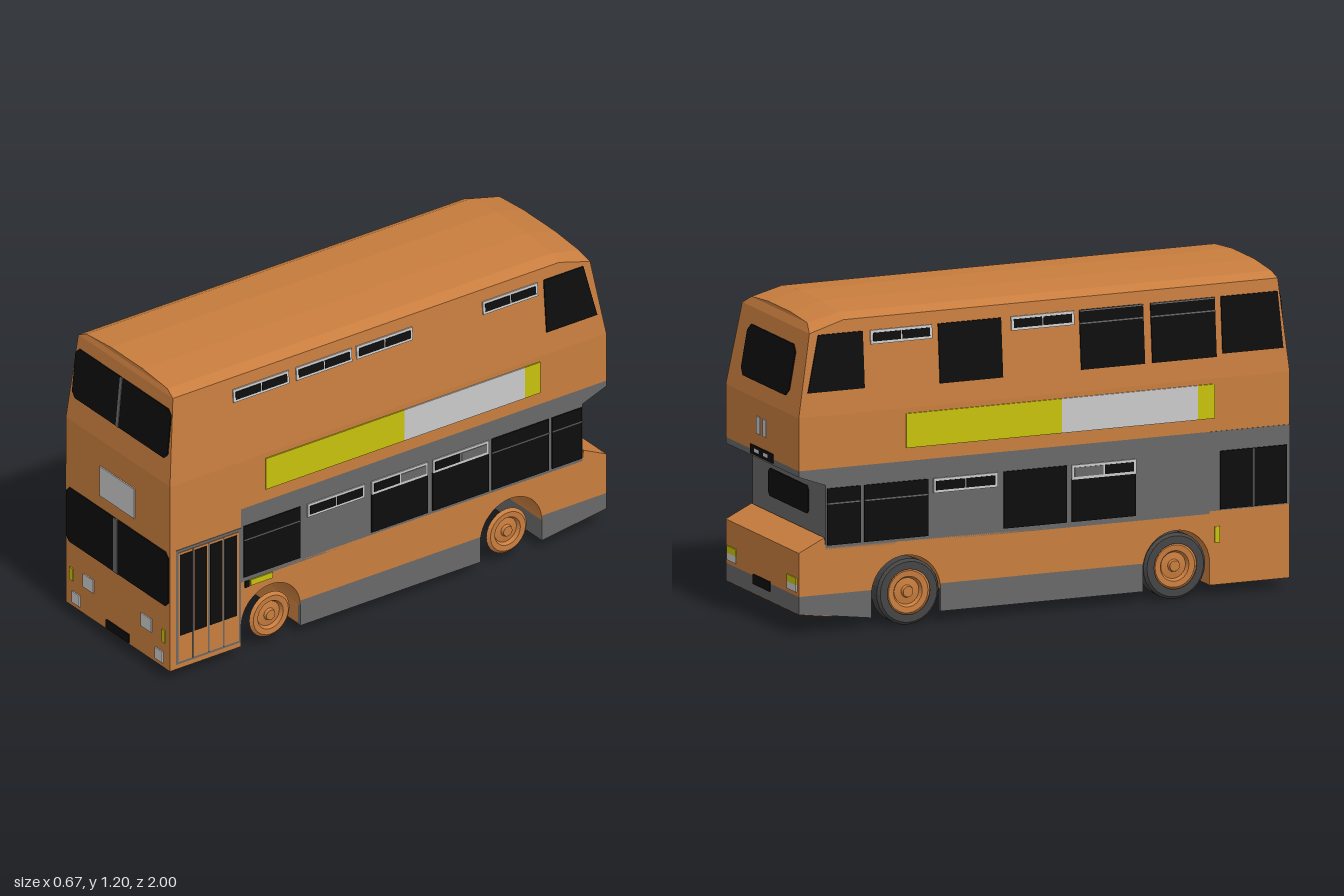
import * as THREE from 'three';

const mat = (name, color, side = THREE.FrontSide) =>
  new THREE.MeshStandardMaterial({ name, color, side, flatShading: true });

export function createModel() {
  const bus = new THREE.Group();
  bus.name = 'doubleDeckerBus';
  const orange = mat('orange paint', 0xc87d3e, THREE.DoubleSide);
  const grey = mat('grey trim', 0x686868, THREE.DoubleSide);
  const black = mat('dark glass', 0x0d0d0d);
  const light = mat('light grey', 0xcacaca);
  const yellow = mat('yellow', 0xc8c20c);
  const rubber = mat('tyre rubber', 0x454545, THREE.DoubleSide);

  const add = (name, geo, material, parent = bus) => {
    const m = new THREE.Mesh(geo, material);
    m.name = name;
    parent.add(m);
    return m;
  };
  const box = (name, material, x0, x1, y0, y1, z0, z1) =>
    add(name, new THREE.BoxGeometry(x1 - x0, y1 - y0, z1 - z0)
      .translate((x0 + x1) / 2, (y0 + y1) / 2, (z0 + z1) / 2), material);
  // Side outline in (z, y) stretched across the width
  const across = (name, material, shape, w = 0.656) =>
    add(name, new THREE.ExtrudeGeometry(shape, { depth: w, bevelEnabled: false, curveSegments: 12 })
      .rotateY(-Math.PI / 2).translate(w / 2, 0, 0), material);
  const poly = (pts) => new THREE.Shape(pts.map(([a, b]) => new THREE.Vector2(a, b)));

  // Walls: distance from the centre at a given height
  const lean = (y, k) => Math.max(0, y - 0.82) * k;
  const halfWidth = (y) => 0.328 - lean(y, 0.0857);
  const frontZ = (y) => 0.994 - lean(y, 0.1);
  const backZ = (y) => 0.994 - lean(y, 0.1774);
  const walls = {
    front: { sign: 1, turn: 0, dist: frontZ, dir: [0, 1] },
    back: { sign: -1, turn: Math.PI, dist: backZ, dir: [0, -1] },
    left: { sign: -1, turn: Math.PI / 2, dist: halfWidth, dir: [1, 0] },
    right: { sign: 1, turn: -Math.PI / 2, dist: halfWidth, dir: [-1, 0] },
  };
  // Thin plate that follows a wall; outline in world (x or z, y)
  const plateShape = (name, wall, material, pts, lift = 0) => {
    const w = walls[wall];
    const geo = new THREE.ExtrudeGeometry(poly(pts.map(([a, y]) => [a * w.sign, y])),
      { depth: 0.005, bevelEnabled: false }).rotateY(w.turn);
    const p = geo.attributes.position;
    for (let i = 0; i < p.count; i++) {
      const d = w.dist(p.getY(i)) + lift;
      p.setX(i, p.getX(i) + w.dir[0] * d);
      p.setZ(i, p.getZ(i) + w.dir[1] * d);
    }
    geo.computeVertexNormals();
    return add(name, geo, material);
  };
  const plate = (name, wall, material, a0, a1, y0, y1, lift = 0, cut = 0) =>
    plateShape(name, wall, material, cut
      ? [[a0 + cut, y0], [a1 - cut, y0], [a1, y0 + cut], [a1, y1 - cut],
        [a1 - cut, y1], [a0 + cut, y1], [a0, y1 - cut], [a0, y0 + cut]]
      : [[a0, y0], [a1, y0], [a1, y1], [a0, y1]], lift);

  // Upper deck shell: half cross-sections [x, y, z] from front to back
  const profile = [[0.328, 0.62], [0.328, 0.82], [0.298, 1.17], [0.255, 1.19], [0.1, 1.204]];
  const front = profile.map(([x, y], i) => [x, y, i < 3 ? frontZ(y) : 0.953]);
  const shoulder = profile.map(([x, y]) => [x, y, -0.8]);
  const tail = [[0.328, 0.62, -0.994], [0.328, 0.82, -0.994], [halfWidth(1.13), 1.13, -backZ(1.13)],
    [0.25, 1.16, -0.925], [0.1, 1.172, -0.925]];
  const rings = [front, shoulder, tail].map((h) =>
    [...h, ...[...h].reverse().map(([x, y, z]) => [-x, y, z])]);
  const verts = [];
  const quad = (a, b, c, d) => [a, b, c, a, c, d].forEach((v) => verts.push(...v));
  const n = profile.length, M = 2 * n;
  for (let s = 0; s < 2; s++)
    for (let i = 0; i < M; i++) {
      const j = (i + 1) % M;
      quad(rings[s][i], rings[s + 1][i], rings[s + 1][j], rings[s][j]);
    }
  for (let k = 0; k < n - 1; k++) {
    const F = rings[0], B = rings[2], l = M - 1 - k;
    quad(F[k], F[k + 1], F[l - 1], F[l]);
    quad(B[l], B[l - 1], B[k + 1], B[k]);
  }
  const shell = new THREE.BufferGeometry();
  shell.setAttribute('position', new THREE.Float32BufferAttribute(verts, 3));
  shell.computeVertexNormals();
  add('upperDeck', shell, orange);

  // Lower deck
  box('frontSection', orange, -0.328, 0.328, 0.04, 0.62, 0.67, 0.994);
  box('windowBand', grey, -0.328, 0.328, 0.31, 0.62, -0.885, 0.67);
  plate('frontWindowBand', 'right', grey, 0.665, 0.994, 0.32, 0.62, -0.003);
  across('rearOverhang', grey, poly([[-0.88, 0.62], [-0.994, 0.62], [-0.994, 0.597], [-0.88, 0.555]]));
  const lower = new THREE.Shape();
  lower.moveTo(0.67, 0.32).lineTo(0.67, 0.125);
  lower.absarc(0.535, 0.125, 0.135, 0, Math.PI, false);
  lower.lineTo(0.4, 0.145).lineTo(-0.42, 0.145).lineTo(-0.42, 0.125);
  lower.absarc(-0.56, 0.125, 0.14, 0, Math.PI, false);
  lower.lineTo(-0.7, 0.145).lineTo(-0.994, 0.145).lineTo(-0.994, 0.31)
    .lineTo(-0.89, 0.36).lineTo(-0.885, 0.32);
  across('lowerBody', orange, lower);
  for (const s of [-1, 1]) {
    const x = s * 0.321;
    box('sideSkirt', grey, x - 0.007, x + 0.007, 0.04, 0.146, -0.42, 0.4);
  }
  box('wheelWellWall', orange, -0.314, 0.314, 0.042, 0.146, 0.388, 0.399);
  across('rearSkirt', grey, poly([[-0.7, 0.145], [-0.994, 0.145], [-0.994, 0.08], [-0.7, 0.04]]));
  across('rearUnderside', orange, poly([[-0.86, 0.063], [-0.993, 0.081], [-0.993, 0.077], [-0.86, 0.058]]), 0.65);

  // Front face
  plate('upperWindscreen', 'front', black, -0.3, 0.3, 0.92, 1.12, 0, 0.02);
  plate('upperPillar', 'front', grey, -0.02, -0.005, 0.92, 1.12, 0.002);
  plate('lowerWindscreen', 'front', black, -0.322, 0.322, 0.307, 0.535, 0, 0.02);
  plate('lowerPillar', 'front', grey, -0.02, 0.005, 0.307, 0.535, 0.002);
  plate('destinationPanel', 'front', light, -0.11, 0.108, 0.588, 0.712);
  plate('frontPlate', 'front', black, -0.07, 0.072, 0.046, 0.082);
  for (const s of [-1, 1]) {
    const pair = (name, m, a, b, y0, y1) =>
      plate(name, 'front', m, Math.min(s * a, s * b), Math.max(s * a, s * b), y0, y1);
    pair('headlight', light, 0.15, 0.215, 0.155, 0.21);
    pair('fogLight', light, 0.237, 0.286, 0.058, 0.105);
    pair('indicator', yellow, 0.28, 0.3, 0.148, 0.2);
  }

  // Rear face
  plate('rearUpperWindow', 'back', black, -0.215, 0.215, 0.88, 1.07, 0, 0.025);
  for (const x of [0.03, -0.025]) plate('rearPanel', 'back', light, x - 0.014, x + 0.014, 0.69, 0.755);
  plate('rearSign', 'back', black, -0.1, 0.1, 0.605, 0.64);
  for (const x of [0.04, -0.04]) plate('signLamp', 'back', light, x - 0.02, x + 0.02, 0.617, 0.63, 0.001);
  plate('rearLowerWindow', 'back', black, -0.18, 0.18, 0.42, 0.525, -0.109, 0.015);
  plate('rearPlate', 'back', black, -0.075, 0.075, 0.115, 0.152);
  for (const x of [-0.27, 0.27]) {
    plate('tailLight', 'back', yellow, x - 0.04, x + 0.04, 0.187, 0.214);
    plate('reverseLight', 'back', light, x - 0.04, x + 0.04, 0.16, 0.187);
  }

  // Windows common to both sides
  const vent = (side, z0, z1, y0, y1, rearPane = black) => {
    const mid = (z0 + z1) / 2, b = 0.01;
    plate('ventFrame', side, light, z0, z1, y0, y1, 0.001);
    plate('ventPane', side, rearPane, z0 + b, mid - 0.003, y0 + b, y1 - b, 0.003);
    plate('ventPane', side, black, mid + 0.003, z1 - b, y0 + b, y1 - b, 0.003);
  };
  const transom = (side, z0, z1, y) => plate('transom', side, grey, z0, z1, y, y + 0.005, 0.002);
  for (const side of ['left', 'right']) {
    plateShape('upperRearCornerWindow', side, black,
      [[-0.955, 0.91], [-0.725, 0.91], [-0.725, 1.122], [-0.905, 1.122]]);
    vent(side, -0.695, -0.445, 1.07, 1.122);
    vent(side, -0.125, 0.13, 1.07, 1.122);
    plate('lowerWindow', side, black, -0.88, -0.745, 0.33, 0.545);
    plate('lowerWindow', side, black, -0.73, -0.47, 0.33, 0.545);
    transom(side, -0.88, -0.745, 0.485);
    transom(side, -0.73, -0.47, 0.485);
  }

  // Left side: door, vents and saloon windows
  vent('left', 0.152, 0.405, 1.07, 1.122);
  vent('left', 0.438, 0.692, 1.07, 1.122);
  for (const [z0, z1] of [[-0.455, -0.2], [-0.178, 0.078]]) {
    plate('lowerWindow', 'left', black, z0, z1, 0.33, 0.492);
    vent('left', z0, z1, 0.49, 0.545, grey);
  }
  vent('left', 0.11, 0.37, 0.49, 0.545);
  plate('lowerWindow', 'left', black, 0.402, 0.66, 0.33, 0.545);
  transom('left', 0.402, 0.66, 0.485);
  plate('doorFrame', 'left', grey, 0.672, 0.967, 0.06, 0.542, -0.003);
  plate('doorLeaf', 'left', orange, 0.682, 0.957, 0.07, 0.53, -0.001);
  for (const z of [0.72, 0.786, 0.858, 0.924])
    plate('doorGlass', 'left', black, z - 0.028, z + 0.028, 0.18, 0.52, 0.001);
  for (const z of [0.753, 0.821, 0.891]) plate('doorSeam', 'left', grey, z - 0.003, z + 0.003, 0.07, 0.53, 0.001);
  plate('sideMarker', 'left', black, 0.635, 0.655, 0.285, 0.311, 0.001);
  plate('sideIndicator', 'left', yellow, 0.53, 0.63, 0.287, 0.311, 0.001);

  // Right side windows
  plate('upperWindow', 'right', black, -0.42, -0.165, 0.9, 1.122);
  for (const [z0, z1] of [[0.152, 0.41], [0.44, 0.7]]) {
    plate('upperWindow', 'right', black, z0, z1, 0.9, 1.122);
    transom('right', z0, z1, 1.07);
    transom('right', z0, z1, 1.117);
  }
  plateShape('upperFrontCornerWindow', 'right', black,
    [[0.725, 0.91], [0.97, 0.91], [0.955, 1.122], [0.725, 1.122]]);
  vent('right', -0.45, -0.19, 0.49, 0.545);
  plate('lowerWindow', 'right', black, -0.165, 0.09, 0.33, 0.545);
  plate('lowerWindow', 'right', black, 0.11, 0.37, 0.33, 0.492);
  vent('right', 0.11, 0.37, 0.49, 0.545, grey);
  plate('cabWindow', 'right', black, 0.71, 0.98, 0.325, 0.545, 0.003);
  plate('cabWindowBar', 'right', grey, 0.84, 0.848, 0.325, 0.545, 0.005);
  plate('sideIndicator', 'right', yellow, 0.69, 0.71, 0.2, 0.26);

  // Side panels, the same going round the bus
  for (const [side, s] of [['left', 1], ['right', -1]])
    for (const [m, a, b] of [[yellow, 0.56, -0.07], [light, -0.07, -0.62], [yellow, -0.62, -0.69]])
      plate('sidePanel', side, m, Math.min(a * s, b * s), Math.max(a * s, b * s), 0.67, 0.8);

  // Wheels: stepped hubs on both sides, full tyres on the right side
  const lathe = (pts) => new THREE.LatheGeometry(pts.map(([r, h]) => new THREE.Vector2(r, h)), 28);
  const hubPts = [[0, 0.004], [0.02, 0.004], [0.024, -0.008], [0.05, -0.012], [0.058, 0.002], [0.08, 0.004], [0.092, -0.006]];
  const tyrePts = [[0.086, -0.036], [0.115, -0.036], [0.125, -0.026], [0.125, 0.026], [0.115, 0.036], [0.086, 0.036]];
  for (const z of [0.53, -0.55]) {
    const wheel = (name, pts, m, x, s) =>
      add(name, lathe(pts).rotateZ(-s * Math.PI / 2).translate(x, 0.125, z), m);
    wheel('leftHub', hubPts, orange, 0.318, 1);
    wheel('rightHub', hubPts, orange, -0.322, -1);
    wheel('rightInnerHub', hubPts, orange, -0.266, 1);
    wheel('rightTyre', tyrePts, rubber, -0.294, 1);
  }
  return bus;
}
